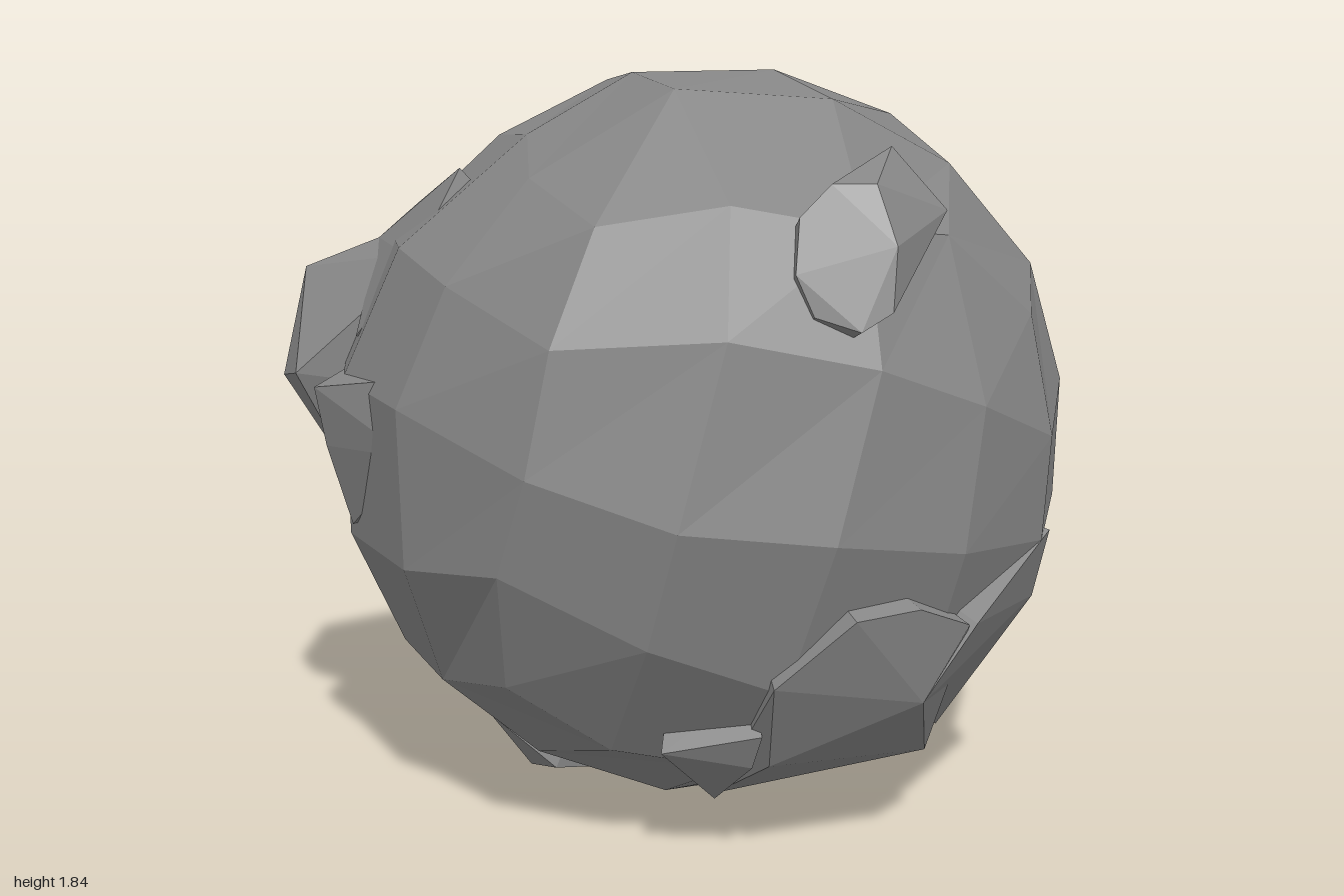
import * as THREE from 'three';
import { ConvexGeometry } from 'three/addons/geometries/ConvexGeometry.js';

const material = new THREE.MeshStandardMaterial({ color: 0x868686, flatShading: true });
const centre = new THREE.Vector3(0.08, 0.93, 0);
const tilt = new THREE.Euler(0.1, 0.3, -0.22);

// Repeatable noise that depends only on position, so shared corners stay together
function noise(v, seed) {
  const s = Math.sin(Math.round(v.x * 50) * 12.99 + Math.round(v.y * 50) * 78.23 + Math.round(v.z * 50) * 37.72 + seed) * 437.585;
  return (s - Math.floor(s)) * 2 - 1;
}

// Broad swellings and hollows: direction, cosine of reach, height
const swellings = [
  [[0.05, 0.8, 0.6], 0.82, 0.045],
  [[-0.72, 0, -0.69], 0.82, 0.03],
  [[0.05, -0.72, -0.7], 0.78, -0.065],
  [[-0.5, 0.8, 0.25], 0.91, -0.05],
].map(([d, reach, height]) => [new THREE.Vector3(...d).normalize(), reach, height]);

// Boulder: a gridded cube rounded into a ball, tilted, then roughened
function boulderGeometry() {
  const geo = new THREE.BoxGeometry(2, 2, 2, 4, 4, 4).toNonIndexed();
  const p = geo.attributes.position;
  const v = new THREE.Vector3();
  const spread = (t) => Math.tan((t * Math.PI) / 4);
  for (let i = 0; i < p.count; i++) {
    v.fromBufferAttribute(p, i);
    v.set(spread(v.x), spread(v.y), spread(v.z)).normalize();
    const dir = v.clone();
    v.x += noise(dir, 1) * 0.04;
    v.y += noise(dir, 2) * 0.04;
    v.z += noise(dir, 3) * 0.04;
    v.normalize().applyEuler(tilt);
    let r = 0.94 + noise(dir, 4) * 0.005;
    for (const [d, reach, height] of swellings) {
      r += height * THREE.MathUtils.smoothstep(v.dot(d), reach, 1);
    }
    v.multiplyScalar(r).add(centre);
    p.setXYZ(i, Math.min(v.x, 1), Math.max(v.y, 0), v.z);
  }
  geo.computeVertexNormals();
  return geo;
}

// Crags: hulls of a few outer corners, each anchored inside the boulder
const crags = {
  sideCrag: [[-1, 1.07, 0], [-0.95, 1.34, -0.1], [-0.92, 1.2, -0.26], [-0.75, 1.42, -0.05],
    [-0.94, 1.1, 0.16], [-0.8, 0.77, 0.05], [-0.6, 1.4, 0.12], [-0.76, 1.25, -0.33]],
  sideSkirt: [[-0.75, 1.42, -0.05], [-0.52, 1.61, 0.14], [-0.62, 1.4, 0.3], [-0.78, 1.2, 0.2],
    [-0.66, 1.5, -0.14]],
  sideSpur: [[-0.86, 1.1, 0.36], [-0.84, 0.95, 0.33], [-0.79, 0.74, 0.28], [-0.67, 1.13, 0.45],
    [-0.62, 0.95, 0.48], [-0.8, 1.12, 0.15]],
  frontKnob: [[0.26, 1.42, 0.8], [0.27, 1.54, 0.76], [0.34, 1.61, 0.74], [0.44, 1.61, 0.73],
    [0.48, 1.48, 0.79], [0.47, 1.34, 0.82], [0.4, 1.3, 0.84], [0.3, 1.33, 0.82],
    [0.5, 1.68, 0.5], [0.62, 1.54, 0.57]],
  backShelf: [[0.8, 1.52, -0.28], [0.74, 1.55, -0.1], [0.7, 1.64, -0.22], [0.83, 1.45, -0.32],
    [0.8, 1.44, -0.2], [0.68, 1.63, -0.45], [0.74, 1.47, -0.48], [0.62, 1.66, -0.27]],
  backPeak: [[0.66, 1.64, -0.62], [0.69, 1.55, -0.68], [0.55, 1.67, -0.58], [0.38, 1.7, -0.45],
    [0.72, 1.5, -0.5], [0.54, 1.45, -0.74], [0.62, 1.66, -0.4]],
  backSaddle: [[0.68, 1.6, -0.5], [0.76, 1.48, -0.42], [0.72, 1.36, -0.6], [0.62, 1.45, -0.7],
    [0.52, 1.58, -0.66]],
  backTooth: [[0.48, 1.37, -0.83], [0.4, 1.48, -0.81], [0.33, 1.55, -0.74], [0.55, 1.47, -0.76],
    [0.62, 1.22, -0.76], [0.5, 1.21, -0.83], [0.66, 1.3, -0.7]],
  lowerLedge: [[0.22, 0.5, 0.85], [0.4, 0.66, 0.86], [0.57, 0.43, 0.74], [0.68, 0.6, 0.69],
    [0.22, 0.27, 0.72], [0.1, 0.14, 0.56], [0.62, 0.21, 0.46], [0.55, 0.67, 0.8]],
  lowerLip: [[0.57, 0.43, 0.74], [0.7, 0.6, 0.68], [0.92, 0.75, 0.4], [0.9, 0.56, 0.32],
    [0.67, 0.22, 0.31]],
  lowerFin: [[-0.03, 0.31, 0.74], [0.18, 0.27, 0.73], [0.2, 0.36, 0.77], [0.1, 0.13, 0.57]],
  baseKnob: [[-0.37, 0.02, 0.06], [-0.3, 0.04, 0.14], [-0.2, 0.02, 0.08], [-0.47, 0.18, 0.12],
    [-0.42, 0.08, -0.04], [-0.26, 0.03, -0.04]],
  backKnob: [[0.14, 0.6, -0.8], [0.0, 0.53, -0.82], [0.06, 0.38, -0.76], [0.2, 0.38, -0.74],
    [0.27, 0.5, -0.78], [0.18, 0.35, -0.61], [-0.1, 0.43, -0.75], [0.3, 0.42, -0.66]],
};

function cragGeometry(corners) {
  const outer = corners.map((c) => new THREE.Vector3(...c));
  const inner = outer.map((v) => v.clone().lerp(centre, 0.15));
  return new ConvexGeometry([...outer, ...inner]);
}

export function createModel() {
  const group = new THREE.Group();
  group.name = 'rock';
  const add = (name, geo) => {
    const mesh = new THREE.Mesh(geo, material);
    mesh.name = name;
    group.add(mesh);
  };
  add('boulder', boulderGeometry());
  for (const [name, corners] of Object.entries(crags)) add(name, cragGeometry(corners));
  return group;
}
